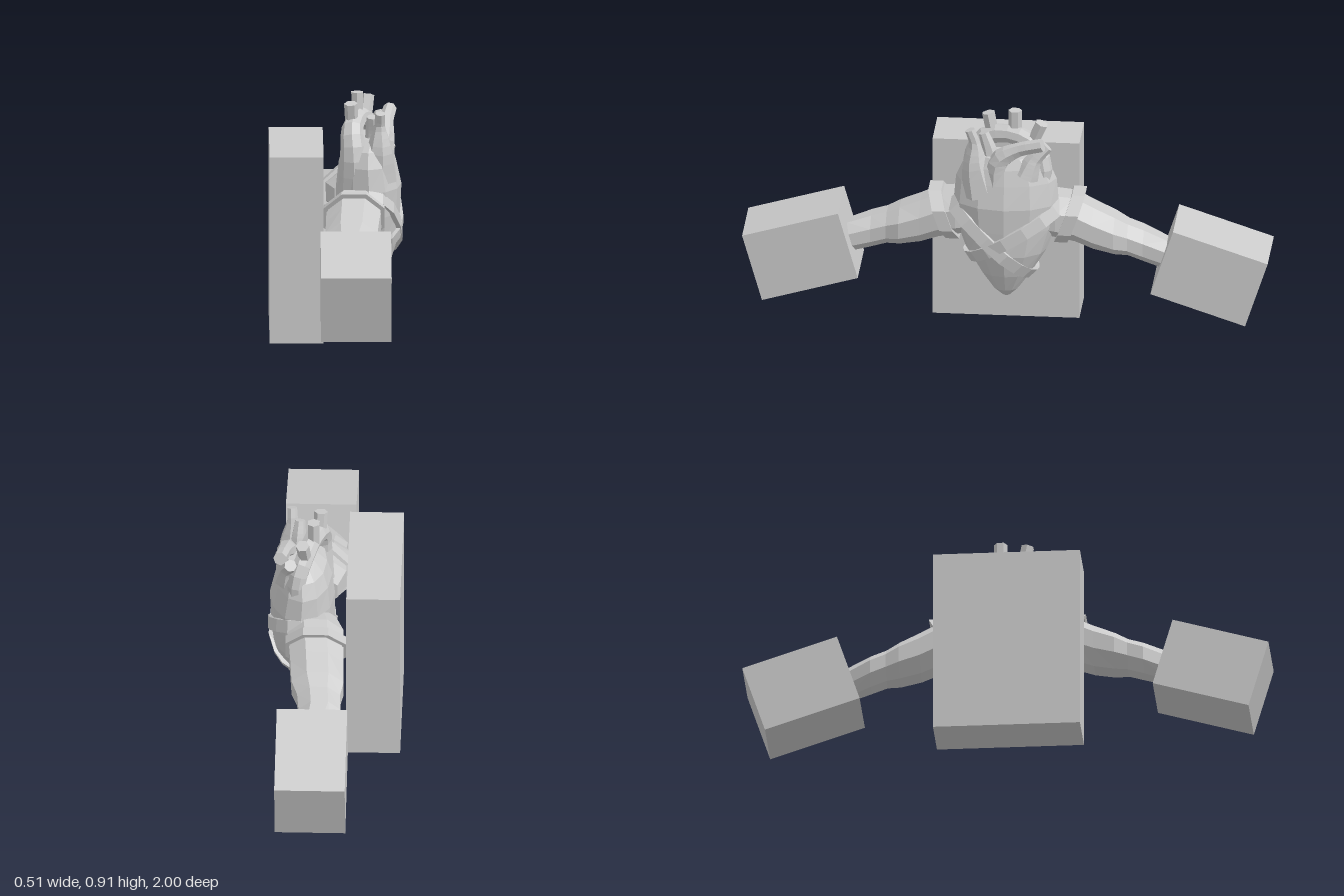
import * as THREE from 'three';

const V = (x, y, z) => new THREE.Vector3(x, y, z);
const material = new THREE.MeshStandardMaterial({ color: 0xcccccc, flatShading: true });

// Skin a row of equal-sized rings; open lofts get end caps. Faces are turned outward.
function loft(rings, closed = false) {
  const n = rings[0].length, m = rings.length, pts = rings.flat(), tris = [];
  for (let i = 0; i < (closed ? m : m - 1); i++) {
    for (let j = 0; j < n; j++) {
      const k = (j + 1) % n, i2 = (i + 1) % m;
      const a = i * n + j, b = i * n + k, c = i2 * n + k, d = i2 * n + j;
      tris.push([a, b, c], [a, c, d]);
    }
  }
  if (!closed) {
    for (let j = 1; j < n - 1; j++) {
      const e = (m - 1) * n;
      tris.push([0, j + 1, j], [e, e + j, e + j + 1]);
    }
  }
  let volume = 0;
  for (const [a, b, c] of tris) volume += pts[a].dot(pts[b].clone().cross(pts[c]));
  if (volume < 0) tris.forEach((t) => t.reverse());
  const geo = new THREE.BufferGeometry().setFromPoints(pts);
  geo.setIndex(tris.flat());
  geo.computeVertexNormals();
  return geo;
}

// Round tube through points, with one radius per point
function vessel(points, radii, sides = 7, steps = 10) {
  const curve = new THREE.CatmullRomCurve3(points.map((p) => V(...p)));
  const frames = curve.computeFrenetFrames(steps);
  const rings = [];
  for (let i = 0; i <= steps; i++) {
    const t = i / steps, f = t * (radii.length - 1);
    const k = Math.min(Math.floor(f), radii.length - 2);
    const r = THREE.MathUtils.lerp(radii[k], radii[k + 1], f - k);
    const centre = curve.getPoint(t);
    rings.push(Array.from({ length: sides }, (_, j) => {
      const a = (j / sides) * Math.PI * 2;
      return centre.clone()
        .addScaledVector(frames.normals[i], Math.cos(a) * r)
        .addScaledVector(frames.binormals[i], Math.sin(a) * r);
    }));
  }
  return loft(rings);
}

// Heart levels: y, x min, x max, half depth along z
const levels = [
  [0.165, 0.105, 0.135, 0.015], [0.2, 0.075, 0.175, 0.05], [0.27, 0.04, 0.21, 0.1],
  [0.36, 0.01, 0.238, 0.155], [0.46, 0, 0.243, 0.19], [0.56, 0, 0.248, 0.2],
  [0.65, 0.01, 0.228, 0.192], [0.71, 0.03, 0.212, 0.165], [0.75, 0.07, 0.195, 0.11],
];
function levelAt(y) {
  let i = 0;
  while (i < levels.length - 2 && y > levels[i + 1][0]) i++;
  const t = THREE.MathUtils.clamp((y - levels[i][0]) / (levels[i + 1][0] - levels[i][0]), 0, 1);
  const [, x0, x1, rz] = levels[i].map((v, k) => THREE.MathUtils.lerp(v, levels[i + 1][k], t));
  return { cx: (x0 + x1) / 2, rx: (x1 - x0) / 2, rz };
}

// Flat band around the heart, lying in the tilted plane y = a + b z
function strap(a, b) {
  const rings = [], sides = 16, half = 0.024;
  for (let i = 0; i < sides; i++) {
    const t = (i / sides) * Math.PI * 2, c = Math.cos(t), s = Math.sin(t);
    let y = a;
    for (let k = 0; k < 40; k++) y = (y + a + b * c * levelAt(y).rz) / 2;
    const l = levelAt(y), up = V(0, 1, -b).normalize();
    const at = (off, h) => V(l.cx + (l.rx + off) * s, y, (l.rz + off) * c).addScaledVector(up, h);
    rings.push([at(-0.012, -half), at(0.014, -half), at(0.014, half), at(-0.012, half)]);
  }
  return loft(rings, true);
}

// Arm sections: distance along z, centre y, half height, centre x, half width
const armSections = [
  [0.1, 0.49, 0.07, 0.08, 0.09], [0.19, 0.487, 0.088, 0.07, 0.112], [0.26, 0.475, 0.092, 0.065, 0.108],
  [0.33, 0.445, 0.088, 0.06, 0.105], [0.41, 0.42, 0.078, 0.055, 0.103], [0.46, 0.405, 0.066, 0.05, 0.085],
  [0.52, 0.385, 0.066, 0.045, 0.083], [0.61, 0.362, 0.062, 0.065, 0.066],
];
function armRing([z, cy, ry, cx, rx], side, grow = 0, sides = 8) {
  const drop = side < 0 ? 0.028 * Math.max(0, (z - 0.25) / 0.36) : 0;
  return Array.from({ length: sides }, (_, j) => {
    const t = ((j + 0.5) / sides) * Math.PI * 2;
    return V(cx + (rx + grow) * 1.04 * Math.cos(t), cy - drop + (ry + grow) * 1.04 * Math.sin(t), side * z);
  });
}

export function createModel() {
  const group = new THREE.Group();
  const add = (name, geo) => {
    const mesh = new THREE.Mesh(geo, material);
    mesh.name = name;
    group.add(mesh);
    return mesh;
  };

  // Upright slab behind the heart
  add('backBlock', new THREE.BoxGeometry(0.205, 0.722, 0.56)).position.set(-0.152, 0.361, 0.017);

  // Heart body
  add('heartBody', loft(levels.map(([y, x0, x1, rz]) => Array.from({ length: 12 }, (_, j) => {
    const t = (j / 12) * Math.PI * 2;
    return V((x0 + x1) / 2 + ((x1 - x0) / 2) * Math.sin(t), y, rz * Math.cos(t));
  }))));

  // Crossed straps
  add('strapA', strap(0.36, 0.98));
  add('strapB', strap(0.42, -0.64));

  // Arms, shoulder bands and block hands
  for (const side of [1, -1]) {
    const label = side > 0 ? 'front' : 'rear';
    add(label + 'Arm', loft(armSections.map((s) => armRing(s, side))));
    const band = [[0.215, -0.004], [0.215, 0.012], [0.265, 0.012], [0.265, -0.004]];
    const bandRings = band.map(([z, grow]) => {
      const ring = armRing([z, 0.48, 0.09, 0.066, 0.108], side, grow);
      ring.forEach((p) => { p.z += side * (p.y - 0.48) * 0.35; });
      return ring;
    });
    add(label + 'ShoulderBand', loft(bandRings, true));
    const hand = add(label + 'HandBlock', new THREE.BoxGeometry(0.268, 0.274, 0.38));
    hand.position.set(0.07, side > 0 ? 0.322 : 0.29, side * 0.78);
    hand.rotation.x = side > 0 ? 0.28 : -0.32;
  }

  // Great arch and its three upper branches
  add('aorticArch', vessel(
    [[0.07, 0.56, 0.1], [0.065, 0.7, 0.12], [0.06, 0.785, 0.085], [0.085, 0.812, -0.01],
      [0.115, 0.785, -0.1], [0.14, 0.71, -0.14], [0.14, 0.6, -0.13]],
    [0.065, 0.05, 0.042, 0.036, 0.036, 0.036, 0.036], 8, 14));
  const branches = [
    [[0.06, 0.79, 0.055], [0.055, 0.885, 0.075]],
    [[0.08, 0.81, -0.03], [0.08, 0.908, -0.03]],
    [[0.11, 0.78, -0.095], [0.12, 0.875, -0.135]],
  ];
  branches.forEach((p, i) => add('archBranch' + (i + 1), vessel(p, [0.025, 0.026], 6, 1)));

  // Tapering vessels rising from the heart
  add('frontVein', vessel(
    [[0.16, 0.6, 0.09], [0.165, 0.72, 0.115], [0.165, 0.8, 0.115], [0.167, 0.858, 0.135]],
    [0.075, 0.05, 0.022, 0.019]));
  add('innerVein', vessel(
    [[0.14, 0.66, 0.05], [0.14, 0.76, 0.06], [0.135, 0.835, 0.085]], [0.045, 0.03, 0.02]));
  add('pulmonaryTrunk', vessel(
    [[0.165, 0.64, 0.03], [0.18, 0.74, 0.02], [0.19, 0.79, -0.05], [0.205, 0.82, -0.145]],
    [0.06, 0.042, 0.028, 0.026]));
  add('pulmonaryBranch', vessel(
    [[0.18, 0.68, -0.08], [0.175, 0.75, -0.11], [0.165, 0.8, -0.16]], [0.05, 0.032, 0.024]));

  return group;
}
